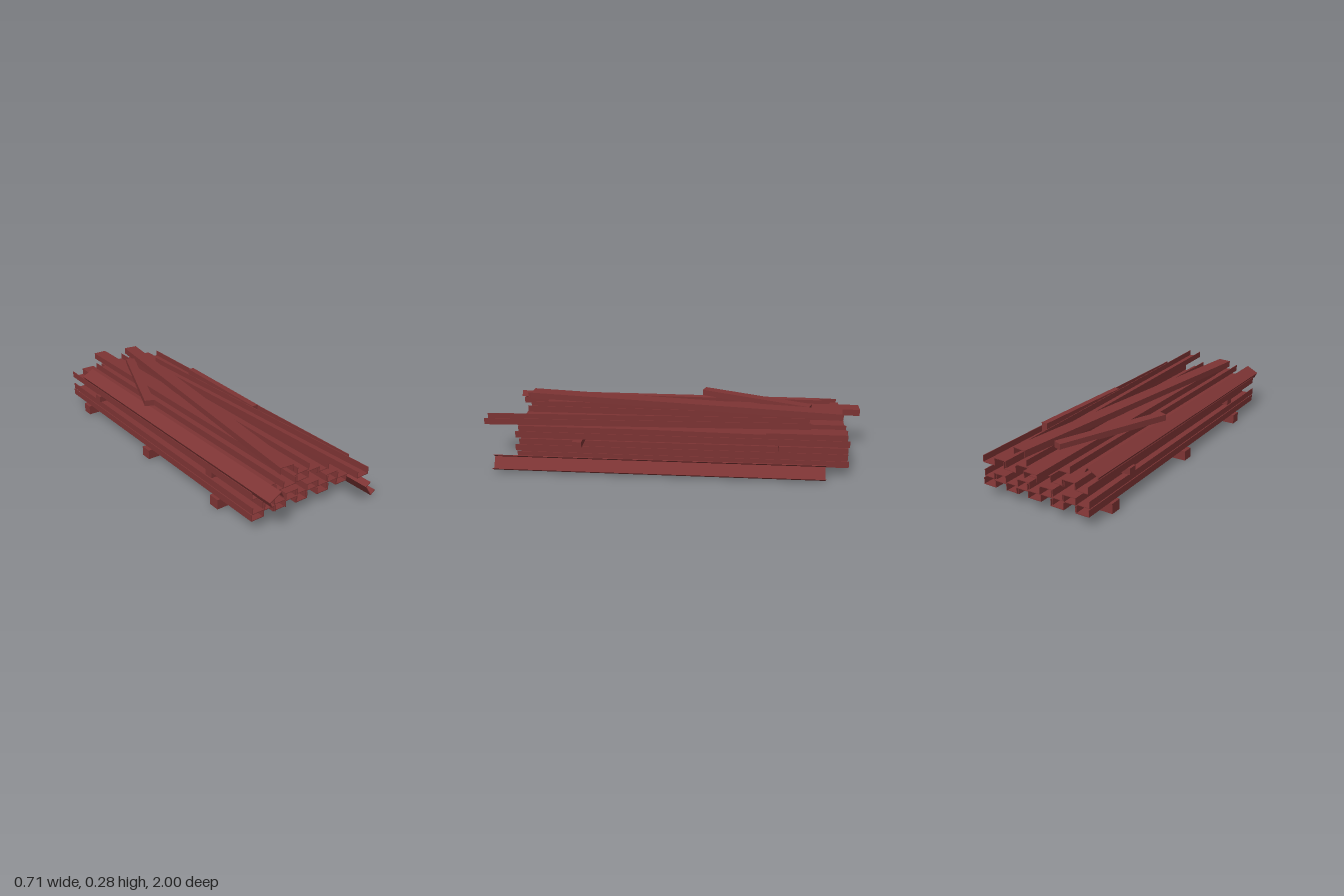
import * as THREE from 'three';

export function createModel() {
  const group = new THREE.Group();
  const paint = new THREE.MeshStandardMaterial({ color: 0x7d3434 });
  paint.name = 'rust red';
  const T = 0.0035; // sheet thickness
  const W = 0.074, H = 0.035; // channel section

  // U section: web on y = 0, flanges pointing up
  const profile = new THREE.Shape([
    [-W / 2, 0], [W / 2, 0], [W / 2, H], [W / 2 - T, H],
    [W / 2 - T, T], [-W / 2 + T, T], [-W / 2 + T, H], [-W / 2, H],
  ].map(([x, y]) => new THREE.Vector2(x, y)));

  const add = (name, geometry, x, y, z, ry = 0, rz = 0) => {
    const mesh = new THREE.Mesh(geometry, paint);
    mesh.name = name;
    mesh.position.set(x, y, z);
    mesh.rotation.set(0, ry, rz);
    group.add(mesh);
  };

  // Channel whose web centre runs from (x1, z1) to (x2, z2) at height y
  const channel = (name, x1, z1, x2, z2, y, roll = 0) => {
    const length = Math.hypot(x2 - x1, z2 - z1);
    const geometry = new THREE.ExtrudeGeometry(profile, { depth: length, bevelEnabled: false });
    geometry.translate(0, 0, -length / 2);
    add(name, geometry, (x1 + x2) / 2, y, (z1 + z2) / 2, Math.atan2(x2 - x1, z2 - z1), roll);
  };

  // Solid timber from (x1, z1) to (x2, z2) with its underside at y
  const timber = (name, x1, z1, x2, z2, y, width, height) => {
    const length = Math.hypot(x2 - x1, z2 - z1);
    add(name, new THREE.BoxGeometry(width, height, length), (x1 + x2) / 2, y + height / 2,
      (z1 + z2) / 2, Math.atan2(x2 - x1, z2 - z1));
  };

  // Sleepers under the stack and between its layers
  for (const [x1, x2, z] of [[-0.35, 0.29, -0.72], [-0.355, 0.27, -0.05], [-0.35, 0.29, 0.55]]) {
    timber('lowerSleeper', x1, z, x2, z, 0, 0.06, 0.052);
  }
  timber('upperSleeper', -0.348, -0.575, 0.283, -0.575, 0.132, 0.048, 0.033);
  timber('upperSleeper', -0.333, 0.485, 0.305, 0.485, 0.132, 0.048, 0.033);

  // Three layers of interlocked channels, alternately upright and upturned
  [0.0525, 0.0922, 0.1652].forEach((y, layer) => {
    for (let i = 0; i < 9; i++) {
      const x = -0.298 + i * 0.0665;
      const shift = 0.006 * Math.sin(i * 2.3 + layer * 1.7);
      const upturned = i % 2 === 1;
      channel(upturned ? 'upturnedChannel' : 'uprightChannel', x, -0.907 + shift, x, 0.812 + shift,
        upturned ? y + H + T : y, upturned ? Math.PI : 0);
    }
  });

  // Part layer on top
  channel('topChannel', -0.163, -0.855, -0.163, 0.865, 0.2055);
  channel('topUpturnedChannel', -0.096, -1, -0.096, 0.715, 0.244, Math.PI);
  channel('topChannel', -0.029, -0.905, -0.029, 0.81, 0.2055);
  channel('skewedChannel', 0.11, -0.72, 0.164, 0.998, 0.2055);
  channel('crossingChannel', 0.062, -0.887, -0.138, 0.817, 0.2765, Math.PI);

  // Loose channels lying tilted at both sides
  channel('leaningChannel', 0.306, -0.79, 0.306, 0.925, 0.034, -0.976);
  channel('tippedChannel', -0.287, -0.805, -0.287, 0.912, 0.215, -2.65);

  // Loose timbers on top
  timber('looseTimber', -0.26, -0.15, -0.033, -0.73, 0.239, 0.05, 0.032);
  timber('edgeTimber', 0.227, 0.155, 0.246, -0.482, 0.168, 0.034, 0.053);

  return group;
}
